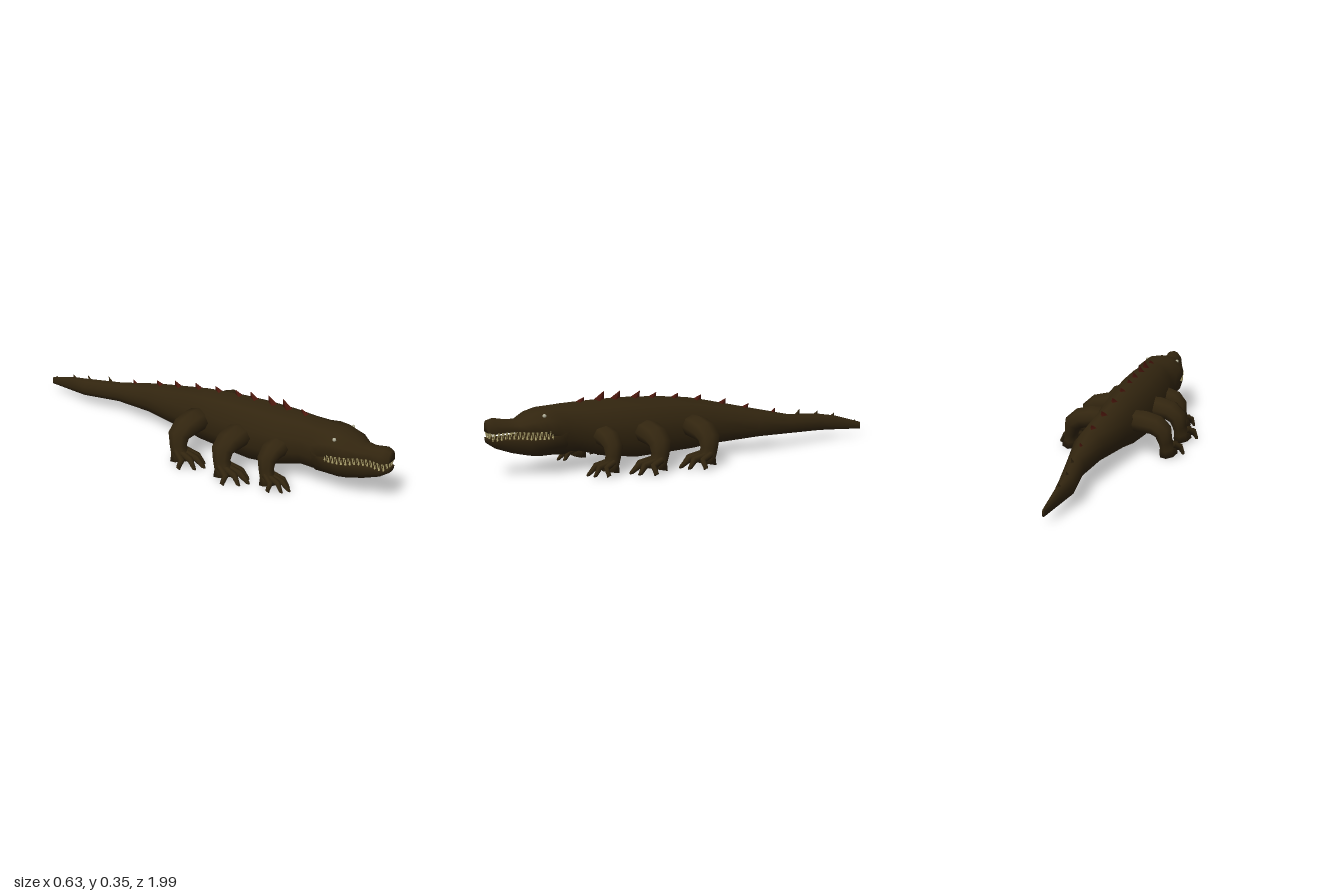
import * as THREE from 'three';
import { mergeGeometries } from 'three/addons/utils/BufferGeometryUtils.js';

const mat = (name, color) => Object.assign(new THREE.MeshStandardMaterial({ color }), { name });

// Skin closed rings of points (counter-clockwise about the travel direction)
function loft(rings) {
  const n = rings[0].length, pos = [], idx = [];
  rings.forEach(r => r.forEach(p => pos.push(p.x, p.y, p.z)));
  for (let i = 0; i < rings.length - 1; i++) {
    for (let j = 0; j < n; j++) {
      const a = i * n + j, b = i * n + (j + 1) % n;
      idx.push(a, b, b + n, a, b + n, a + n);
    }
  }
  [0, rings.length - 1].forEach((i, end) => {
    const c = new THREE.Vector3();
    rings[i].forEach(p => c.addScaledVector(p, 1 / n));
    const ci = pos.length / 3;
    pos.push(c.x, c.y, c.z);
    for (let j = 0; j < n; j++) {
      const a = i * n + j, b = i * n + (j + 1) % n;
      idx.push(ci, end ? a : b, end ? b : a);
    }
  });
  const g = new THREE.BufferGeometry();
  g.setAttribute('position', new THREE.Float32BufferAttribute(pos, 3));
  g.setIndex(idx);
  g.computeVertexNormals();
  return g;
}

// Half profiles from bottom to top: x as a share of half width, y of height
const TRUNK = [[0, 0], [.76, .05], [.95, .3], [1, .62], [.55, .89], [0, 1]];
const SNOUT = [[0, 0], [.8, 0], [1, .06], [.9, .55], [.5, .9], [0, 1]];
const JAW = [[0, 0], [.6, .07], [.88, .45], [1, .92], [.85, 1], [0, 1]];

// One cross-section: z, centre x, bottom, top, half width, blend from profile A to B
function section([z, cx, y0, y1, w, k = 0], A, B) {
  const half = A.map(([x, y], i) => [x + (B[i][0] - x) * k, y + (B[i][1] - y) * k]);
  const mirrored = half.slice(1, -1).reverse().map(([x, y]) => [-x, y]);
  return [...half, ...mirrored].map(([x, y]) => new THREE.Vector3(cx + x * w, y0 + y * (y1 - y0), z));
}

const BODY = [
  [-1, -.004, .035, .07, .006], [-.85, -.013, .043, .115, .022], [-.75, -.016, .05, .133, .038],
  [-.55, .018, .06, .155, .042], [-.35, .025, .066, .203, .07], [-.1, .005, .05, .262, .082],
  [0, 0, .04, .283, .1], [.15, 0, .035, .3, .113], [.3, 0, .03, .31, .12], [.45, 0, .05, .312, .118],
  [.57, 0, .085, .31, .096], [.64, 0, .09, .308, .106], [.69, 0, .165, .305, .118, .5],
  [.74, 0, .2, .3, .115, 1], [.8, 0, .203, .284, .1, 1], [.85, 0, .203, .257, .066, 1],
  [.9, 0, .203, .258, .045, 1], [.96, 0, .2, .27, .048, 1], [.99, 0, .207, .262, .03, 1],
];
const LOWER = [
  [.61, 0, .09, .2, .09], [.645, 0, .077, .2, .108], [.7, 0, .084, .185, .115], [.76, 0, .083, .175, .108],
  [.81, 0, .088, .174, .092], [.88, 0, .104, .174, .063], [.95, 0, .13, .177, .046], [.99, 0, .158, .182, .028],
];

// Centre x and height of the back at z
function backAt(z) {
  let i = 0;
  while (i < BODY.length - 2 && BODY[i + 1][0] < z) i++;
  const a = BODY[i], b = BODY[i + 1], t = (z - a[0]) / (b[0] - a[0]);
  return [a[1] + (b[1] - a[1]) * t, a[3] + (b[3] - a[3]) * t];
}

// Tapering limb through stations [x, y, z, radius across, radius fore-aft]
function limb(stations, sides, ref) {
  const P = stations.map(s => new THREE.Vector3(s[0], s[1], s[2]));
  return loft(P.map((p, i) => {
    const t = P[Math.min(i + 1, P.length - 1)].clone().sub(P[Math.max(i - 1, 0)]).normalize();
    const u = ref.clone().cross(t).normalize(), v = t.clone().cross(u);
    return Array.from({ length: sides }, (_, j) => {
      const a = j / sides * Math.PI * 2;
      const q = p.clone().addScaledVector(u, Math.cos(a) * stations[i][3])
        .addScaledVector(v, Math.sin(a) * stations[i][4]);
      q.y = Math.max(q.y, 0);
      return q;
    });
  }));
}

export function createModel() {
  const model = new THREE.Group();
  model.name = 'sixLeggedReptile';
  const skin = mat('darkBrownSkin', 0x32250f), red = mat('darkRedSpines', 0x4a170c);
  const ivory = mat('ivoryTeeth', 0xb3a872), eyeMat = mat('paleEyes', 0xb0ae98);
  const add = (name, geo, m, parent = model) => {
    const mesh = new THREE.Mesh(geo, m);
    mesh.name = name;
    parent.add(mesh);
    return mesh;
  };

  // Trunk, tail and upper head in one skin, with a separate lower jaw
  add('bodyAndTail', loft(BODY.map(s => section(s, TRUNK, SNOUT))), skin);
  add('lowerJaw', loft(LOWER.map(s => section(s, JAW, JAW))), skin);

  // Three pairs of legs: position along z, spread in x, scale in z
  const legStations = [
    [.06, .165, .01, .05, .07], [.13, .162, .005, .054, .066], [.19, .152, 0, .05, .062],
    [.225, .125, -.005, .045, .055], [.235, .08, 0, .034, .045], [.24, .045, .012, .036, .044],
    [.245, .012, .02, .046, .052],
  ];
  const toeTips = [[.308, .065], [.268, .125], [.228, .15], [.196, .125]];
  const forward = new THREE.Vector3(0, 0, 1), up = new THREE.Vector3(0, 1, 0);
  [['rear', 0, 1, 1], ['middle', .25, 1, 1], ['front', .46, .78, .85]].forEach(([name, z0, sx, sz]) => {
    [['Left', 1], ['Right', -1]].forEach(([side, s]) => {
      const leg = new THREE.Group();
      leg.name = name + side + 'Leg';
      model.add(leg);
      const place = ([x, y, z, a, b]) => [s * x * sx, y, z0 + z * sz, a * (sx + 1) / 2, b * sz];
      add('limb', limb(legStations.map(place), 8, forward), skin, leg);
      toeTips.forEach(([x, z], i) => {
        const root = .268 - i * .018;
        add('toe', limb([
          [root, .06, .01, .016, .016],
          [(root + x) / 2, .04, (z + .03) / 2 + .012, .016, .017],
          [x, .008, z - .01, .011, .009],
          [x, .003, z, .004, .004],
        ].map(place), 6, up), skin, leg);
      });
    });
  });

  // Backswept spines along the back; those near the tail tip match the skin
  const tips = [[.52, .327], [.42, .348], [.34, .343], [.24, .334], [.155, .32], [.04, .307], [-.08, .29],
    [-.21, .262], [-.33, .228], [-.48, .193], [-.63, .171], [-.75, .15], [-.85, .13], [-.975, .085]];
  tips.forEach(([z, y]) => {
    const size = z > -.4 ? 1 : .6, zb = Math.max(z + .035 * size, -.97);
    const [bx, by] = backAt(zb);
    const base = by - .012, h = y - base;
    const g = new THREE.ConeGeometry(1, 1, 4).translate(0, .5, 0).scale(.018 * size, h, .034 * size);
    const p = g.attributes.position;
    for (let i = 0; i < p.count; i++) p.setZ(i, p.getZ(i) + (z - zb) * p.getY(i) / h);
    g.computeVertexNormals();
    add('backSpine', g.translate(bx, base, zb), z > -.6 ? red : skin);
  });

  // Interlocking teeth around the mouth edge
  const edge = [[.111, .72], [.108, .76], [.095, .8], [.062, .85], [.043, .9], [.044, .95], [.026, .982], [0, .986]];
  const outline = new THREE.CatmullRomCurve3([
    ...edge.map(([x, z]) => new THREE.Vector3(x, 0, z)),
    ...edge.slice(0, -1).reverse().map(([x, z]) => new THREE.Vector3(-x, 0, z)),
  ]);
  const upper = [], lower = [], count = 64;
  for (let i = 0; i <= count; i++) {
    const q = outline.getPointAt(i / count), h = .026 + .005 * (i % 3 === 0 ? 1 : 0);
    const cone = new THREE.ConeGeometry(.0058, h, 5);
    if (i % 2) upper.push(cone.rotateX(Math.PI).translate(q.x, .207 - h / 2, q.z));
    else lower.push(cone.translate(q.x * .97, .171 + h / 2, q.z - .003));
  }
  add('upperTeeth', mergeGeometries(upper), ivory);
  add('lowerTeeth', mergeGeometries(lower), ivory);

  // Small eyes high on the sides of the head
  [['leftEye', 1], ['rightEye', -1]].forEach(([name, s]) =>
    add(name, new THREE.SphereGeometry(.009, 10, 8).translate(s * .08, .272, .745), eyeMat));

  return model;
}
